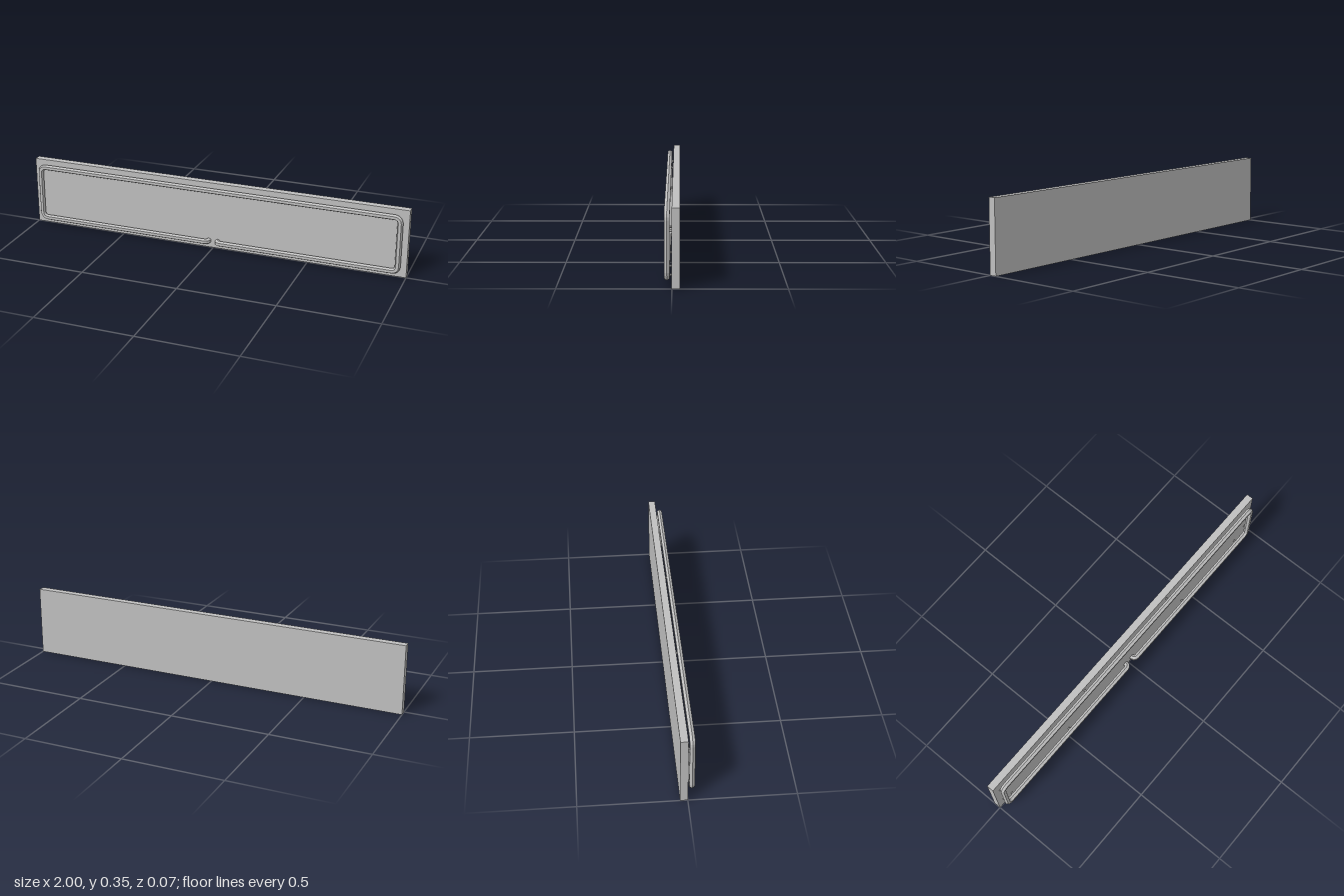
import * as THREE from 'three';

const TUBE_R = 0.0144, TUBE_Z = 0.0225;
const HALF_W = 0.96, LOW = 0.0365, HIGH = 0.3195;
const CORNER = 0.0275, BEND = 0.016, GAP = 0.025;

// Curve that visits a list of points exactly, so the tube gets one ring per point
class PointPath extends THREE.Curve {
  constructor(points) {
    super();
    this.points = points;
  }
  index(u) {
    return Math.round(u * (this.points.length - 1));
  }
  getPointAt(u, target = new THREE.Vector3()) {
    return target.copy(this.points[this.index(u)]);
  }
  getTangentAt(u, target = new THREE.Vector3()) {
    const p = this.points, i = this.index(u);
    const dir = (a, b) => p[b].clone().sub(p[a]).normalize();
    target.set(0, 0, 0);
    if (i > 0) target.add(dir(i - 1, i));
    if (i < p.length - 1) target.add(dir(i, i + 1));
    return target.normalize();
  }
}

// Half of the loop, from the board at the bottom gap round to the top middle
function halfLoop() {
  const pts = [new THREE.Vector3(GAP, LOW, -0.004)];
  for (let i = 0; i <= 3; i++) {
    const a = (i / 3) * Math.PI / 2;
    pts.push(new THREE.Vector3(GAP + BEND * (1 - Math.cos(a)), LOW, TUBE_Z - BEND * (1 - Math.sin(a))));
  }
  const cx = HALF_W - CORNER;
  for (const [cy, start] of [[LOW + CORNER, -Math.PI / 2], [HIGH - CORNER, 0]]) {
    for (let i = 0; i <= 4; i++) {
      const a = start + (i / 4) * Math.PI / 2;
      pts.push(new THREE.Vector3(cx + CORNER * Math.cos(a), cy + CORNER * Math.sin(a), TUBE_Z));
    }
  }
  return pts;
}

export function createModel() {
  const model = new THREE.Group();
  model.name = 'tubeSign';
  const grey = new THREE.MeshStandardMaterial({ color: 0xc0c0c0, flatShading: true });
  grey.name = 'lightGrey';

  // Backing board
  const board = new THREE.Mesh(new THREE.BoxGeometry(2, 0.354, 0.036), grey);
  board.name = 'backBoard';
  board.position.set(0, 0.177, -0.017);
  model.add(board);

  // Six-sided tube loop, open at the bottom middle
  const right = halfLoop();
  const left = right.map(p => new THREE.Vector3(-p.x, p.y, p.z)).reverse();
  const path = new PointPath([...right, ...left]);
  const tube = new THREE.Mesh(
    new THREE.TubeGeometry(path, path.points.length - 1, TUBE_R, 6, false), grey);
  tube.name = 'tubeLoop';
  model.add(tube);

  // Small standoffs holding the tube off the board
  const standoffGeometry = new THREE.CylinderGeometry(0.006, 0.006, 0.022, 8);
  standoffGeometry.rotateX(Math.PI / 2);
  const standoffs = new THREE.Group();
  standoffs.name = 'standoffs';
  const spots = [
    [-0.335, 0.322], [0.295, 0.322],
    [-0.91, 0.035], [-0.475, 0.035], [0.435, 0.035], [0.885, 0.035],
    [-0.962, 0.265], [0.962, 0.265], [-0.962, 0.084], [0.962, 0.093],
  ];
  for (const [x, y] of spots) {
    const standoff = new THREE.Mesh(standoffGeometry, grey);
    standoff.name = 'standoff';
    standoff.position.set(x, y, 0.007);
    standoffs.add(standoff);
  }
  model.add(standoffs);
  return model;
}
